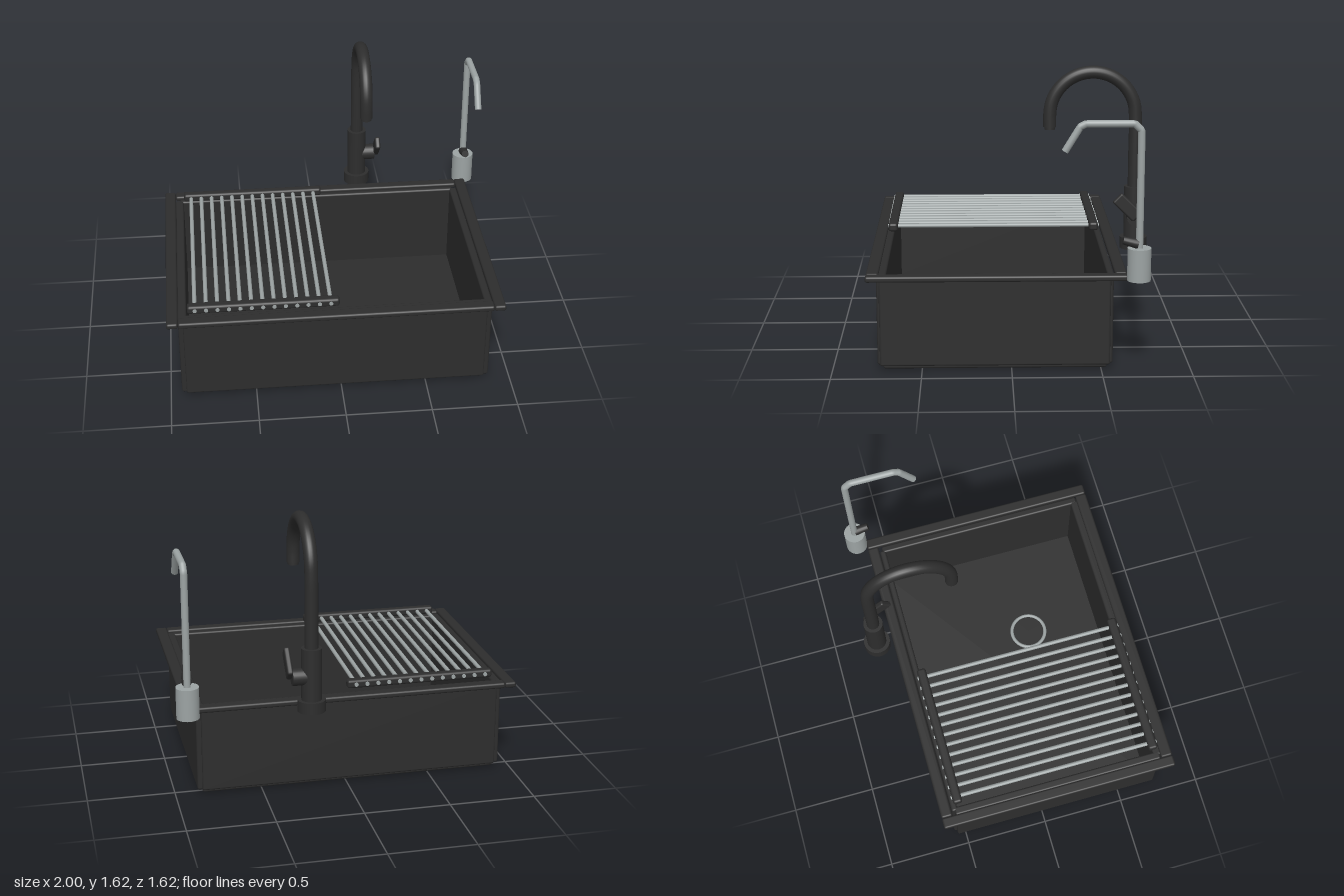
import * as THREE from 'three';
import { RoundedBoxGeometry } from 'three/addons/geometries/RoundedBoxGeometry.js';

const black = new THREE.MeshStandardMaterial({ color: 0x2d2d2d });
black.name = 'matte black';
const steel = new THREE.MeshStandardMaterial({ color: 0x9ca3a3 });
steel.name = 'brushed steel';

export function createModel() {
  const root = new THREE.Group();
  root.name = 'kitchenSink';

  const group = (name) => {
    const g = new THREE.Group();
    g.name = name;
    root.add(g);
    return g;
  };
  const add = (parent, name, geometry, material) => {
    const m = new THREE.Mesh(geometry, material);
    m.name = name;
    parent.add(m);
    return m;
  };
  // Rounded block given by its extents on each axis
  const block = (parent, name, [x0, x1], [y0, y1], [z0, z1], r = 0.012) => {
    const m = add(parent, name, new RoundedBoxGeometry(x1 - x0, y1 - y0, z1 - z0, 2, r), black);
    m.position.set((x0 + x1) / 2, (y0 + y1) / 2, (z0 + z1) / 2);
    return m;
  };
  // Upright cylinder standing at height y0
  const post = (parent, name, r, x, y0, y1, z, material) => {
    const m = add(parent, name, new THREE.CylinderGeometry(r, r, y1 - y0, 32), material);
    m.position.set(x, (y0 + y1) / 2, z);
    return m;
  };
  // Round pipe with closed ends along a curve
  const pipe = (parent, name, curve, r, segments, material) => {
    add(parent, name, new THREE.TubeGeometry(curve, segments, r, 20), material);
    for (const t of [0, 1]) {
      const cap = add(parent, name + 'End', new THREE.CircleGeometry(r, 20), material);
      const dir = curve.getTangentAt(t).multiplyScalar(t ? 1 : -1);
      cap.position.copy(curve.getPointAt(t));
      cap.quaternion.setFromUnitVectors(new THREE.Vector3(0, 0, 1), dir);
    }
  };

  // Basin: floor plate and four walls
  const basin = group('basin');
  block(basin, 'floor', [-0.905, 0.842], [0, 0.045], [-0.535, 0.717]);
  const wallY = [0.025, 0.55];
  block(basin, 'frontWall', [-0.908, 0.845], wallY, [0.695, 0.75]);
  block(basin, 'backWall', [-0.908, 0.845], wallY, [-0.567, -0.53]);
  block(basin, 'rightWall', [-0.935, -0.885], wallY, [-0.55, 0.735]);
  block(basin, 'leftWall', [0.828, 0.873], wallY, [-0.55, 0.735]);

  // Rim bars around the basin
  const rim = group('rim');
  const rimY = [0.53, 0.564];
  block(rim, 'rightRim', [-1, -0.934], rimY, [-0.637, 0.805]);
  block(rim, 'leftRim', [0.873, 0.94], rimY, [-0.637, 0.805]);
  block(rim, 'frontRim', [-0.934, 0.873], rimY, [0.735, 0.805]);
  block(rim, 'backRim', [-0.934, 0.873], rimY, [-0.637, -0.57]);

  // Drain ring with its dark plug
  const drain = group('drain');
  const ring = add(drain, 'drainRing', new THREE.TorusGeometry(0.108, 0.011, 10, 40), steel);
  ring.rotation.x = Math.PI / 2;
  ring.position.set(0.243, 0.047, 0.25);
  post(drain, 'drainPlug', 0.1, 0.243, 0.04, 0.049, 0.25, black);

  // Drying rack: two end bars joined by thirteen rods
  const rack = group('dryingRack');
  block(rack, 'rackFrontBar', [-0.88, -0.01], [0.57, 0.62], [0.67, 0.726], 0.015);
  block(rack, 'rackBackBar', [-0.88, -0.01], [0.57, 0.62], [-0.547, -0.492], 0.015);
  const rodGeometry = new THREE.CylinderGeometry(0.012, 0.012, 1.284, 12);
  for (let i = 0; i < 13; i++) {
    const rod = add(rack, 'rackRod', rodGeometry, steel);
    rod.rotation.x = Math.PI / 2;
    rod.position.set(-0.836 + i * 0.0646, 0.595, 0.088);
  }

  // Main tap: base, body, gooseneck and spout tip
  const tap = group('mainTap');
  const tx = 0.243, tz = -0.733;
  post(tap, 'tapBase', 0.08, tx, 0.537, 0.605, tz, black);
  post(tap, 'tapBody', 0.058, tx, 0.6, 0.908, tz, black);
  const goose = new THREE.CurvePath();
  const v = (y, z) => new THREE.Vector3(tx, y, z);
  const neck = [v(0.9, tz), v(1.1, tz), v(1.32, tz)];
  const R = 0.249;
  for (let i = 1; i <= 12; i++) {
    const a = (i / 12) * Math.PI;
    neck.push(v(1.332 + R * Math.sin(a), tz + R - R * Math.cos(a)));
  }
  neck.push(v(1.262, tz + 2 * R));
  for (let i = 1; i < neck.length; i++) goose.add(new THREE.LineCurve3(neck[i - 1], neck[i]));
  pipe(tap, 'gooseneck', new THREE.CatmullRomCurve3(neck), 0.038, 72, black);
  post(tap, 'spoutTip', 0.031, tx, 1.247, 1.27, tz + 2 * R, black);

  // Side lever of the main tap
  const hub = add(tap, 'leverHub', new THREE.CylinderGeometry(0.049, 0.049, 0.112, 24), black);
  hub.rotation.z = Math.PI / 2;
  hub.position.set(0.299, 0.742, tz);
  const lever = add(tap, 'lever', new RoundedBoxGeometry(0.034, 0.17, 0.078, 2, 0.012), black);
  lever.position.set(0.367, 0.808, -0.683);
  lever.rotation.x = 0.8;

  // Filter tap: steel base, bent pipe and dark knob
  const filter = group('filterTap');
  const fx = 0.934, fz = -0.694;
  post(filter, 'filterBase', 0.065, fx, 0.537, 0.72, fz, steel);
  const bends = [[0.71, fz], [1.37, fz], [1.407, fz + 0.037], [1.407, -0.395], [1.392, -0.365], [1.257, -0.283]]
    .map(([y, z]) => new THREE.Vector3(fx, y, z));
  const bent = new THREE.CurvePath();
  for (let i = 1; i < bends.length; i++) {
    // Dense points keep the runs straight and the bends tight
    bent.add(new THREE.LineCurve3(bends[i - 1], bends[i]));
  }
  pipe(filter, 'filterPipe', bent, 0.02, 110, steel);
  const knob = add(filter, 'knob', new THREE.CylinderGeometry(0.022, 0.028, 0.085, 16), black);
  knob.rotation.x = Math.PI / 2 - 0.25;
  knob.position.set(fx, 0.752, -0.645);

  return root;
}
